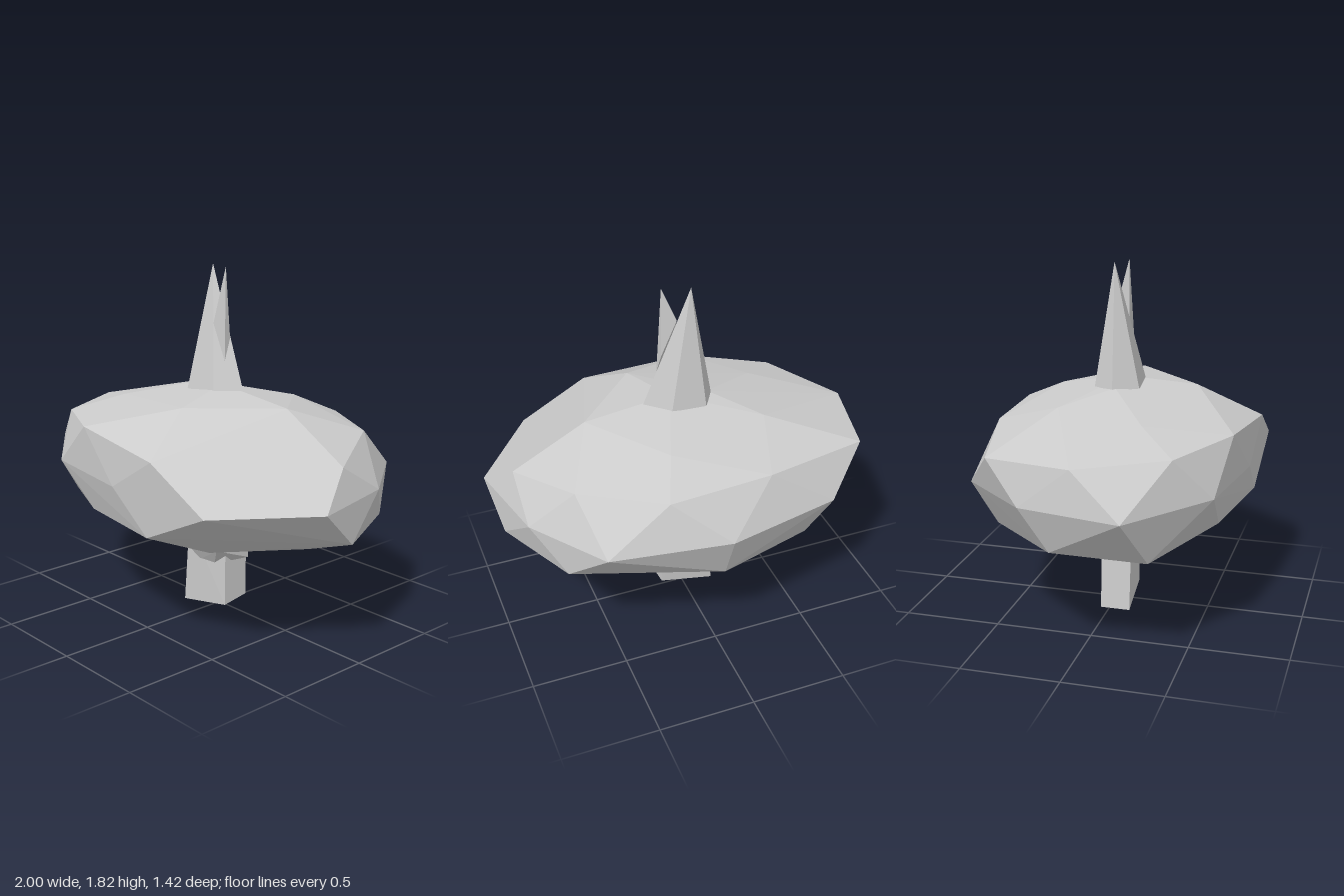
import * as THREE from 'three';
import { ConvexGeometry } from 'three/addons/geometries/ConvexGeometry.js';

const material = new THREE.MeshStandardMaterial({ color: 0xcccccc, flatShading: true });

// Faceted solid wrapped around a few corner points
function facetedPart(name, corners) {
  const points = corners.map((c) => new THREE.Vector3(...c));
  const mesh = new THREE.Mesh(new ConvexGeometry(points), material);
  mesh.name = name;
  return mesh;
}

export function createModel() {
  const group = new THREE.Group();
  group.name = 'facetedTop';

  // Wide uneven boulder: crown, upper ring, waist, lower ring, underside
  const crown = [
    [0.05, 1.22, 0.03], [0.51, 1.17, 0.02], [-0.15, 1.2, 0.03], [0.16, 1.17, 0.39],
    [-0.48, 1.11, 0.25], [-0.37, 1.14, -0.2], [0.19, 1.13, -0.35],
  ];
  const upperRing = [
    [0.89, 0.96, 0.03], [0.31, 0.99, 0.71], [-0.28, 1.04, 0.66], [-0.69, 1.02, 0.45],
    [-0.92, 1.01, 0.03], [-0.82, 1.0, -0.41], [-0.26, 1.03, -0.55], [0.28, 1.02, -0.58],
    [0.68, 1.03, -0.35],
  ];
  const waist = [
    [1, 0.8, 0.25], [0.67, 0.8, 0.7], [0, 0.8, 0.7], [-0.55, 0.8, 0.62], [-1, 0.8, 0.285],
    [-0.9, 0.8, -0.23], [-0.6, 0.8, -0.575], [0, 0.8, -0.71], [0.61, 0.8, -0.62], [0.89, 0.8, -0.23],
  ];
  const lowerRing = [
    [0.96, 0.6, 0.03], [0.25, 0.6, 0.69], [-0.3, 0.59, 0.6], [-0.78, 0.54, 0.36],
    [-0.84, 0.57, -0.1], [-0.5, 0.56, -0.48], [0, 0.545, -0.61], [0.75, 0.6, -0.41],
  ];
  const underside = [
    [0.46, 0.38, -0.2], [0.2, 0.4, 0.25], [-0.3, 0.435, 0.37], [-0.53, 0.435, 0.05], [-0.2, 0.41, -0.25],
  ];
  group.add(facetedPart('body', [...crown, ...upperRing, ...waist, ...lowerRing, ...underside]));

  // Tall six-sided spike with a smaller spike splitting off
  group.add(facetedPart('mainSpike', [
    [-0.05, 1.82, 0], [-0.17, 1.19, 0.02], [-0.1, 1.19, -0.09], [0.08, 1.19, -0.08],
    [0.2, 1.2, 0.02], [0.1, 1.19, 0.13], [-0.09, 1.19, 0.14],
  ]));
  group.add(facetedPart('sideSpike', [
    [0.09, 1.82, 0.04], [0.02, 1.53, 0.06], [0.11, 1.35, 0.065], [0.1, 1.46, 0.02], [0.02, 1.65, 0.01],
  ]));

  // Collar under the body
  group.add(facetedPart('collar', [
    [-0.25, 0.45, 0.02], [-0.1, 0.45, 0.16], [0.13, 0.45, 0.15], [0.24, 0.42, 0.02], [0.1, 0.45, -0.12], [-0.13, 0.45, -0.12],
    [-0.23, 0.38, 0.02], [-0.11, 0.35, 0.15], [0.13, 0.36, 0.14], [0.22, 0.32, 0.0], [0.1, 0.32, -0.11], [-0.12, 0.34, -0.1],
    [-0.04, 0.26, 0.1], [0.06, 0.26, 0.09], [0.04, 0.26, 0.03],
  ]));

  // Square stem with a slanted foot
  group.add(facetedPart('stem', [
    [-0.16, 0, 0.11], [0.14, 0.05, 0.09], [0.14, 0.075, -0.06], [-0.16, 0, -0.045],
    [-0.12, 0.45, 0.11], [0.14, 0.45, 0.085], [0.14, 0.45, -0.06], [-0.12, 0.45, -0.05],
  ]));

  return group;
}
